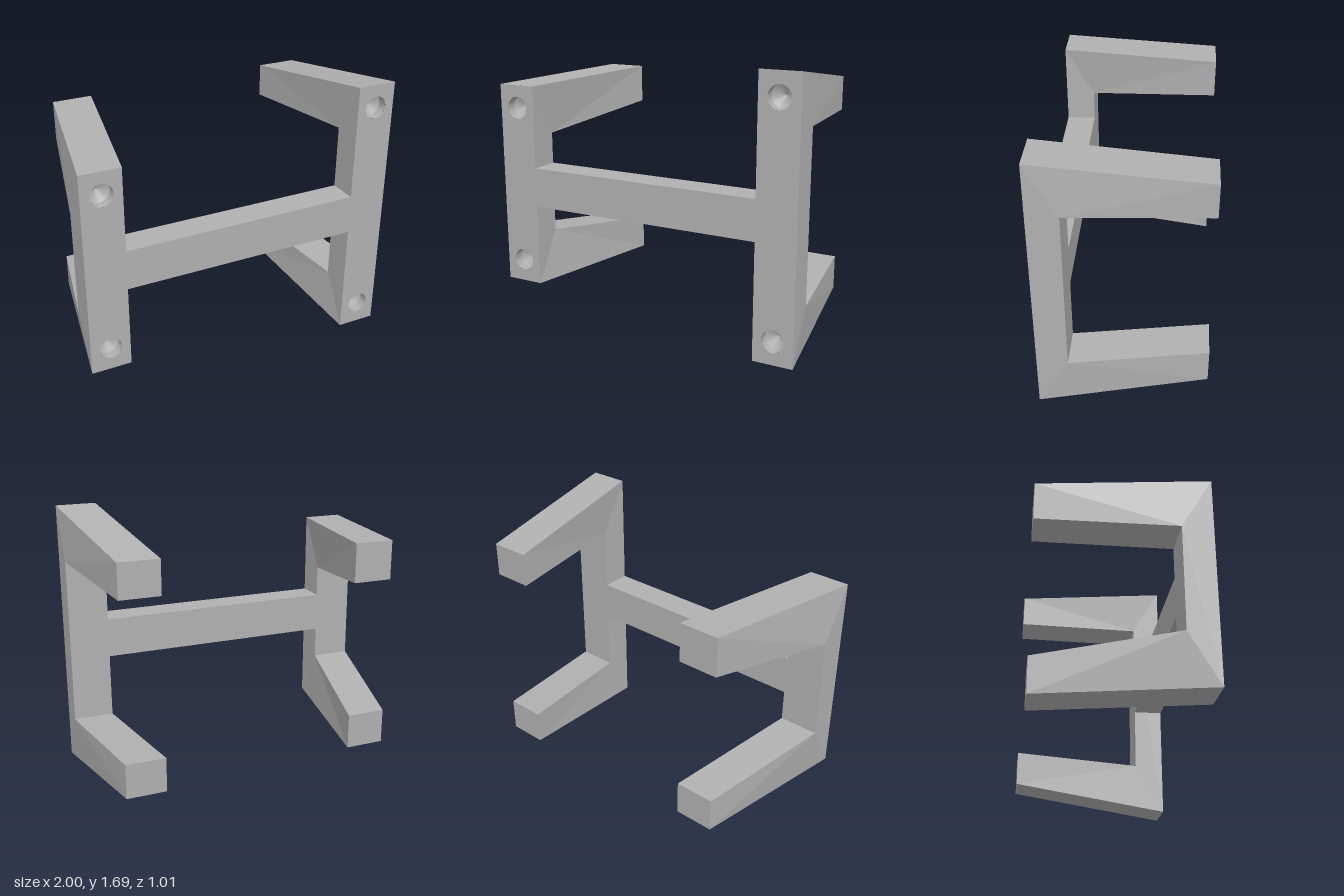
import * as THREE from 'three';
import { toCreasedNormals } from 'three/addons/utils/BufferGeometryUtils.js';

const FRONT = 0.505, INNER = 0.32, BACK = -0.505, HOLE_R = 0.07;

// Clockwise triangles filling the C-shaped side profile
const SIDE = [[1, 2, 4], [2, 3, 4], [0, 1, 4], [0, 4, 5], [0, 5, 7], [5, 6, 7]];

// Post with two tapered arms; the front is left open for the drilled face
function bracketGeometry(o) {
  const profile = [
    [o.bottom, FRONT], [o.top, FRONT],
    [o.upper[2], BACK], [o.upper[1], BACK], [o.upper[0], INNER],
    [o.lower[0], INNER], [o.lower[1], BACK], [o.lower[2], BACK],
  ];
  const at = (i, side) => {
    const [y, z] = profile[i];
    return [(z === BACK ? o.endX : o.postX)[side], y, z];
  };
  const pos = [];
  const tri = (...corners) => corners.forEach((c) => pos.push(...c));
  for (const [a, b, c] of SIDE) {
    tri(at(a, 0), at(b, 0), at(c, 0));
    tri(at(c, 1), at(b, 1), at(a, 1));
  }
  for (let i = 1; i < 8; i++) {
    const j = (i + 1) % 8;
    tri(at(i, 1), at(j, 1), at(j, 0));
    tri(at(i, 1), at(j, 0), at(i, 0));
  }
  const g = new THREE.BufferGeometry();
  g.setAttribute('position', new THREE.Float32BufferAttribute(pos, 3));
  g.computeVertexNormals();
  return g;
}

// Rectangular front face with round openings
function faceGeometry(o, cx) {
  const [x0, x1] = o.postX;
  const s = new THREE.Shape([
    new THREE.Vector2(x0, o.bottom), new THREE.Vector2(x1, o.bottom),
    new THREE.Vector2(x1, o.top), new THREE.Vector2(x0, o.top),
  ]);
  for (const y of o.holes) {
    s.holes.push(new THREE.Path().absarc(cx, y, HOLE_R, 0, Math.PI * 2, true));
  }
  return new THREE.ShapeGeometry(s, 32).translate(0, 0, FRONT);
}

// Blind drilled hole with a conical bottom, facing inwards
function holeGeometry() {
  const pts = [[HOLE_R, 0], [HOLE_R, -0.06], [0, -0.1]].map((p) => new THREE.Vector2(...p));
  return toCreasedNormals(new THREE.LatheGeometry(pts, 32).rotateX(Math.PI / 2), 0.6);
}

export function createModel() {
  const model = new THREE.Group();
  model.name = 'bracketFrame';
  const grey = new THREE.MeshStandardMaterial({ color: 0xb0b0b0 });
  grey.name = 'grey';
  const add = (parent, name, geometry) => {
    const m = new THREE.Mesh(geometry, grey);
    m.name = name;
    parent.add(m);
    return m;
  };

  // Arm heights: [inner corner, end near the middle, end far from the middle]
  const brackets = [
    { name: 'leftBracket', postX: [0.75, 1], endX: [0.65, 0.897], bottom: 0, top: 1.69,
      upper: [1.37, 1.33, 1.54], lower: [0.32, 0.35, 0.133], holes: [0.145, 1.545] },
    { name: 'rightBracket', postX: [-1, -0.753], endX: [-0.813, -0.566], bottom: 0.203, top: 1.49,
      upper: [1.17, 1.277, 1.52], lower: [0.52, 0.412, 0.192], holes: [0.347, 1.347] },
  ];
  for (const o of brackets) {
    const group = new THREE.Group();
    group.name = o.name;
    const cx = (o.postX[0] + o.postX[1]) / 2;
    add(group, 'postAndArms', bracketGeometry(o));
    add(group, 'postFace', faceGeometry(o, cx));
    for (const y of o.holes) add(group, 'screwHole', holeGeometry()).position.set(cx, y, FRONT);
    model.add(group);
  }

  // Crossbar between the posts
  const bar = add(model, 'crossbar', new THREE.BoxGeometry(1.503, 0.25, FRONT - INNER));
  bar.position.set(-0.0015, 0.847, (FRONT + INNER) / 2);
  return model;
}
